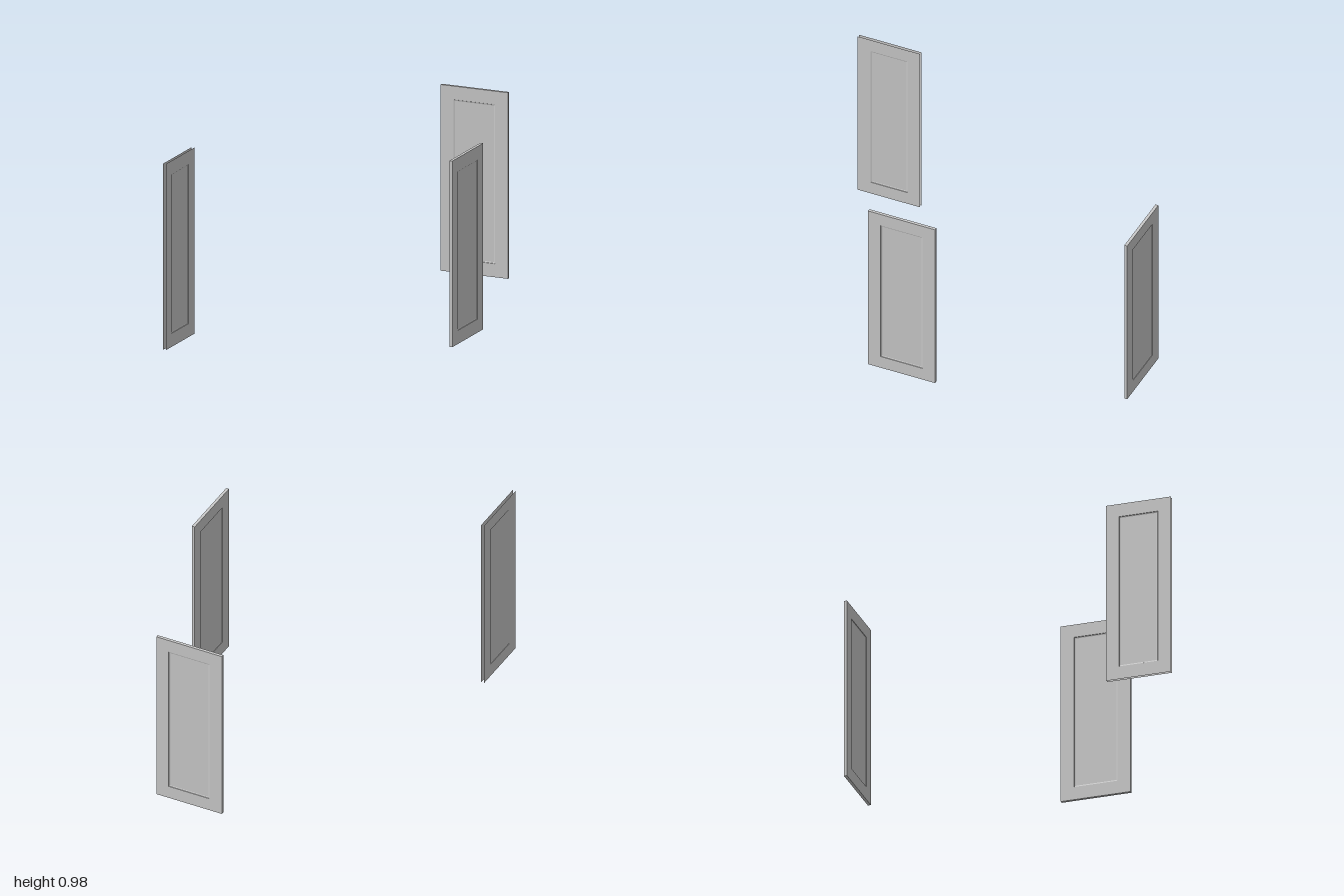
import * as THREE from 'three';

const HEIGHT = 0.98, THICK = 0.016, TILT = 0.0245;
const material = new THREE.MeshStandardMaterial({ color: 0xcccccc, side: THREE.DoubleSide, flatShading: true });

// Skin through concentric rectangles; each ring is [inset from the rim, z]. The last ring may be capped.
function rectLoft(w, h, rings, cap) {
  const pos = [];
  const corners = rings.map(([inset, z]) => {
    const x = w / 2 - inset, y = h / 2 - inset;
    return [[-x, -y, z], [x, -y, z], [x, y, z], [-x, y, z]];
  });
  const quad = (a, b, c, d) => pos.push(...a, ...b, ...c, ...a, ...c, ...d);
  for (let r = 0; r < corners.length - 1; r++) {
    for (let i = 0; i < 4; i++) {
      const j = (i + 1) % 4;
      quad(corners[r][i], corners[r][j], corners[r + 1][j], corners[r + 1][i]);
    }
  }
  if (cap) quad(...corners[corners.length - 1]);
  const geometry = new THREE.BufferGeometry();
  geometry.setAttribute('position', new THREE.Float32BufferAttribute(pos, 3));
  geometry.computeVertexNormals();
  return geometry;
}

function add(group, name, geometry) {
  const mesh = new THREE.Mesh(geometry, material);
  mesh.name = name;
  group.add(mesh);
  return mesh;
}

// Door leaf with a recessed panel on both faces; the rim can be left open
function door(name, width, hasRim) {
  const group = new THREE.Group();
  group.name = name;
  const z = THICK / 2, floor = z - 0.004;
  const parts = {
    Frame: rectLoft(width, HEIGHT, [[0, z], [0.071, z]]),
    Moulding: rectLoft(width, HEIGHT, [[0.071, z], [0.072, z - 0.002], [0.078, floor]]),
    Panel: rectLoft(width, HEIGHT, [[0.078, floor]], true),
  };
  for (const side of ['front', 'back']) {
    for (const [part, geometry] of Object.entries(parts)) {
      const mesh = add(group, side + part, geometry);
      if (side === 'back') mesh.rotation.y = Math.PI;
    }
  }
  if (hasRim) add(group, 'rim', rectLoft(width, HEIGHT, [[0, -z], [0, z]]));
  return group;
}

export function createModel() {
  const model = new THREE.Group();
  model.name = 'doors';
  const place = (leaf, x, z, angle) => {
    leaf.position.set(x, HEIGHT / 2, z);
    leaf.rotation.y = angle + TILT;
    model.add(leaf);
  };
  place(door('backDoor', 0.375, true), 0.144, -0.988, 0);
  place(door('leftDoor', 0.375, true), 0.639, 0.121, Math.PI / 2);
  // narrower leaf without edge strips
  place(door('rightDoor', 0.349, false), -0.641, 0.826, Math.PI / 2);
  return model;
}
